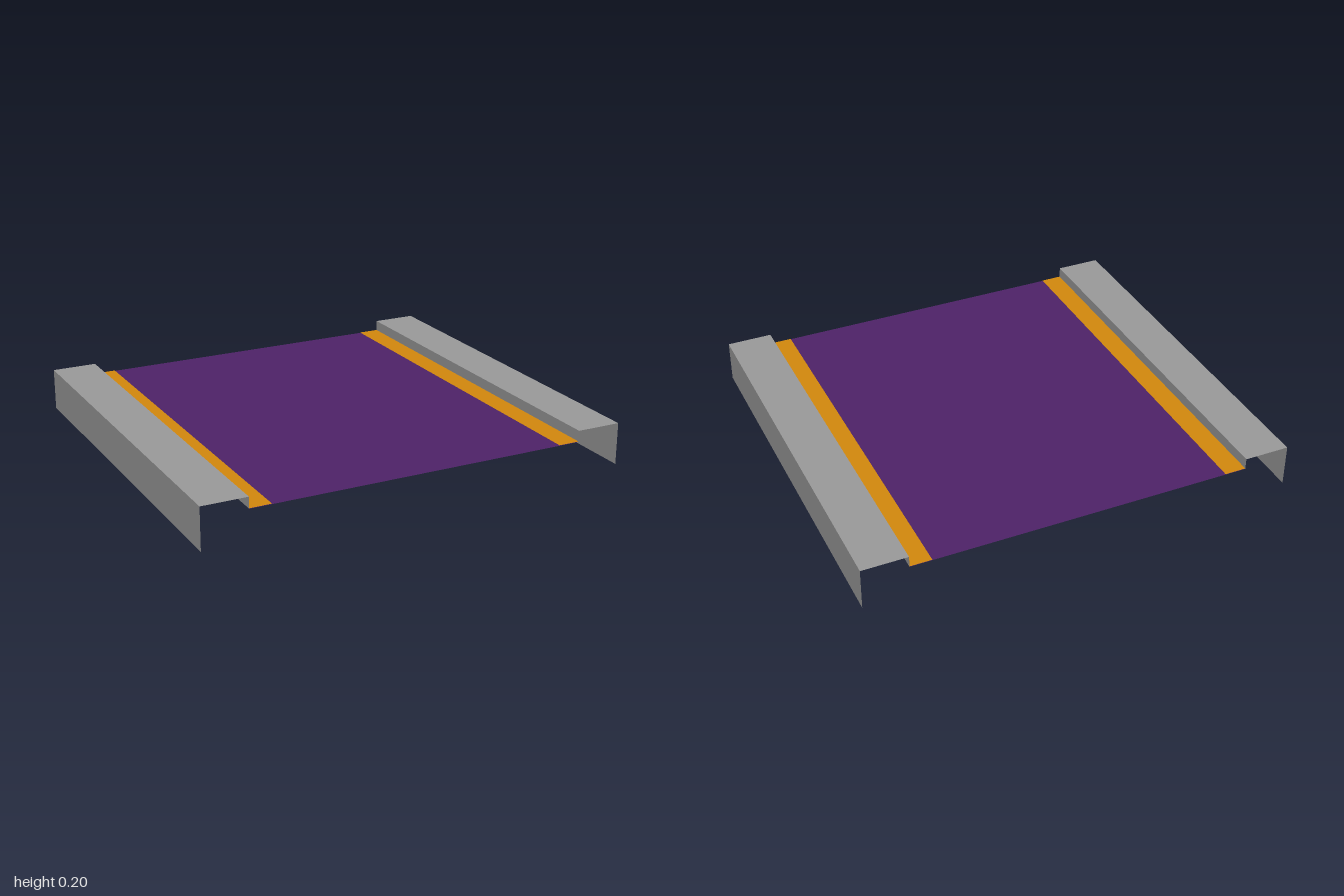
import * as THREE from 'three';

const LENGTH = 1.83, TOP = 0.195, FLOOR = 0.143, OUTER = 1, INNER = 0.79, BAND = 0.69;

export function createModel() {
  const group = new THREE.Group();
  const mat = (name, color) => {
    const m = new THREE.MeshStandardMaterial({ color, side: THREE.DoubleSide });
    m.name = name;
    return m;
  };
  const grey = mat('railGrey', 0x989898);
  const purple = mat('deckPurple', 0x4d2267);
  const orange = mat('bandOrange', 0xd0860c);

  // Thin sheet running along z between two points of the cross-section
  const sheet = (name, material, x0, y0, x1, y1) => {
    const geo = new THREE.PlaneGeometry(Math.hypot(x1 - x0, y1 - y0), LENGTH);
    geo.rotateX(-Math.PI / 2);
    geo.rotateZ(Math.atan2(y1 - y0, x1 - x0));
    geo.translate((x0 + x1) / 2, (y0 + y1) / 2, 0);
    const mesh = new THREE.Mesh(geo, material);
    mesh.name = name;
    return mesh;
  };

  // Sunken deck
  group.add(sheet('deck', purple, -INNER, FLOOR, INNER, FLOOR));

  for (const [side, s] of [['left', 1], ['right', -1]]) {
    // Folded side rail: outer wall, top ledge, inner lip
    const rail = new THREE.Group();
    rail.name = side + 'Rail';
    rail.add(
      sheet('outerWall', grey, s * OUTER, 0, s * OUTER, TOP),
      sheet('topLedge', grey, -OUTER * (s < 0) + INNER * (s > 0), TOP, OUTER * (s > 0) - INNER * (s < 0), TOP),
      sheet('innerLip', grey, s * INNER, FLOOR, s * INNER, TOP)
    );
    group.add(rail);

    // Painted band along the deck edge
    const a = s * BAND, b = s * INNER;
    group.add(sheet(side + 'Band', orange, Math.min(a, b), FLOOR + 0.002, Math.max(a, b), FLOOR + 0.002));
  }
  return group;
}
